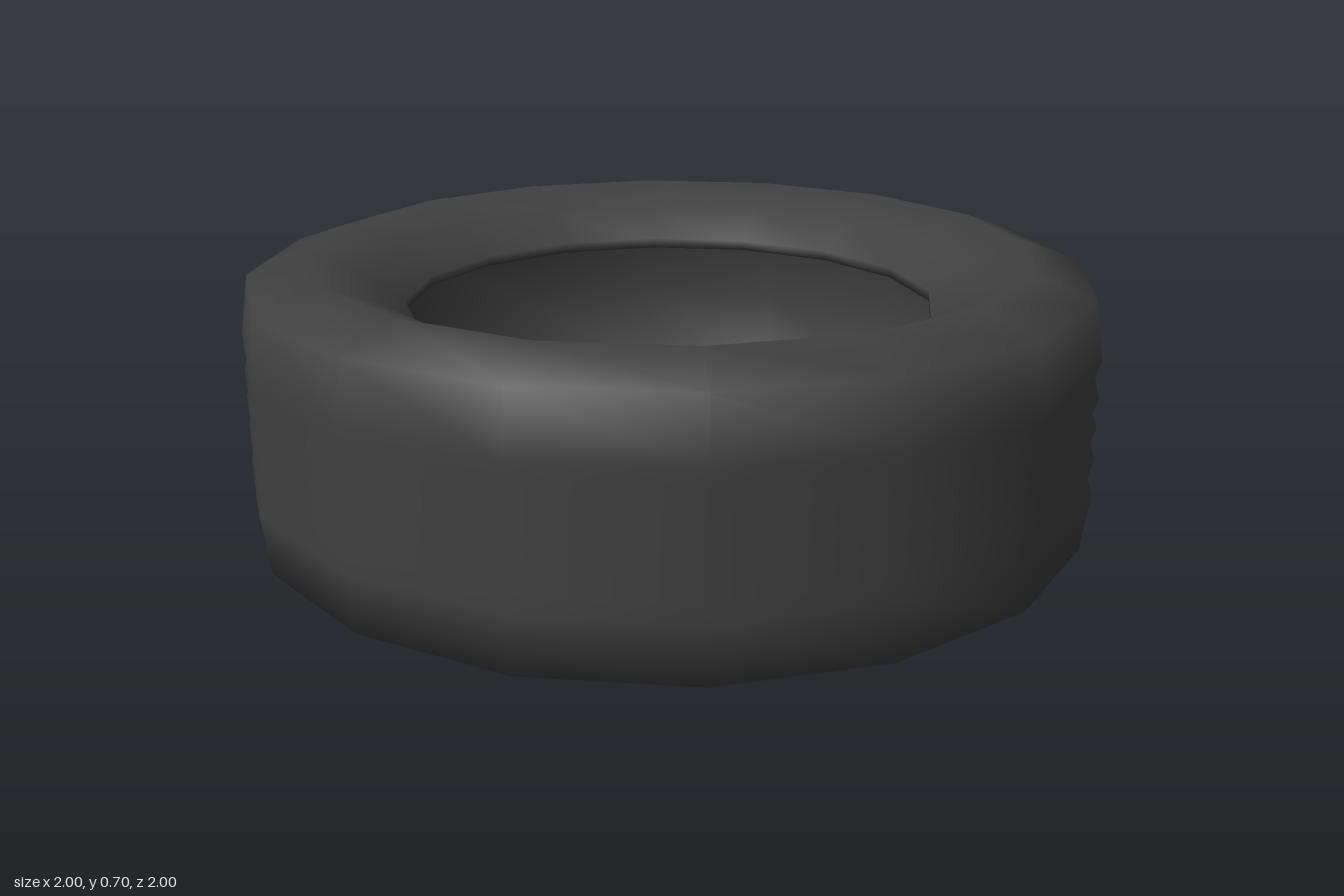
import * as THREE from 'three';

const SIDES = 16;
const MID = 0.35; // half the tyre width

export function createModel() {
  const group = new THREE.Group();
  group.name = 'tyre';

  const rubber = new THREE.MeshStandardMaterial({ color: 0x404040 });
  rubber.name = 'dark rubber';

  // Upper half of the section as [radius to flat, height above the middle]
  const outer = [
    [1.0, 0], [0.988, 0.035], [1.0, 0.07], [0.988, 0.12], [1.0, 0.16], // grooved tread
    [0.98, 0.3], [0.84, 0.35], // shoulder
    [0.72, 0.3], [0.62, 0.23], // sidewall to bead
  ];
  const inner = [[0.62, 0.205], [0.72, 0.26], [0.83, 0.27], [0.91, 0.2], [0.925, 0]]; // hollow inside

  const flip = ([r, h]) => [r, -h];
  const section = [
    ...outer.slice(1).reverse().map(flip), ...outer,
    ...inner, ...inner.slice(0, -1).reverse().map(flip),
    flip(outer[outer.length - 1]), // close the loop at the lower bead
  ];

  // Radii are measured to the flats, so push the corners out
  const corner = 1 / Math.cos(Math.PI / SIDES);
  const points = section.map(([r, h]) => new THREE.Vector2(r * corner, h + MID));
  const carcass = new THREE.Mesh(
    new THREE.LatheGeometry(points, SIDES, Math.PI / SIDES, Math.PI * 2), rubber);
  carcass.name = 'tyreCarcass';
  group.add(carcass);

  return group;
}
